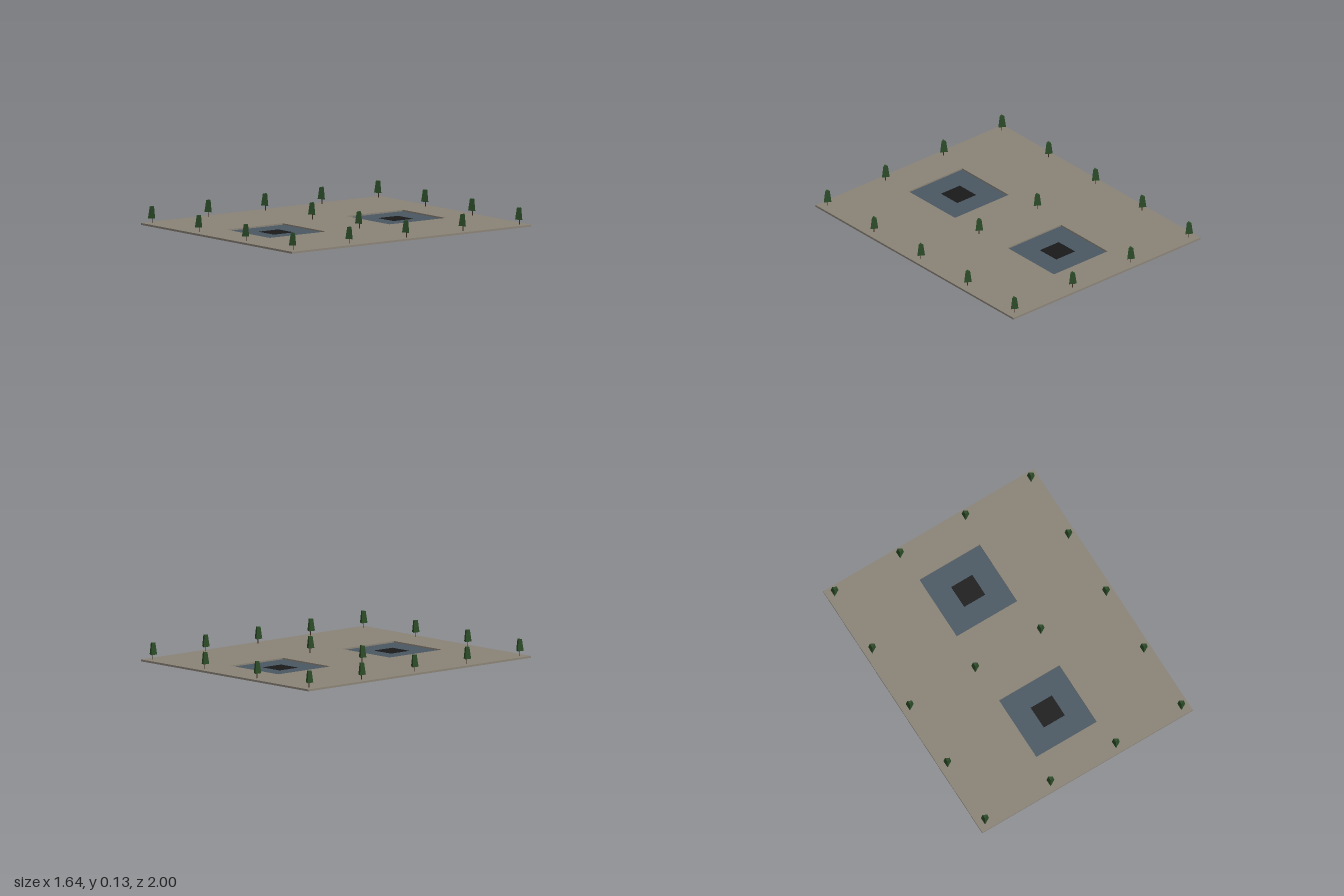
import * as THREE from 'three';

const HALF_X = 0.82, HALF_Z = 1, TOP = 0.014;
const POOL_Z = [-0.5, 0.5], POOL_HALF = 0.235;

const paint = (color) => new THREE.MeshStandardMaterial({ color, flatShading: true });

function part(name, geometry, material, x = 0, y = 0, z = 0) {
  const mesh = new THREE.Mesh(geometry, material);
  mesh.name = name;
  mesh.position.set(x, y, z);
  return mesh;
}

// Square outline, usable for a shape or a hole
function rectangle(path, halfW, halfH, cy = 0) {
  path.moveTo(-halfW, cy - halfH);
  path.lineTo(halfW, cy - halfH);
  path.lineTo(halfW, cy + halfH);
  path.lineTo(-halfW, cy + halfH);
  path.closePath();
  return path;
}

export function createModel() {
  const model = new THREE.Group();
  model.name = 'memorialPlaza';

  const stone = paint(0x8a8276);
  const water = paint(0x4a5862);
  const dark = paint(0x1a1a1a);
  const leaf = paint(0x2a4a26);
  const bark = paint(0x3e2c1e);

  // Paved slab with two square openings
  const outline = rectangle(new THREE.Shape(), HALF_X, HALF_Z);
  for (const z of POOL_Z) outline.holes.push(rectangle(new THREE.Path(), POOL_HALF, POOL_HALF, -z));
  const slab = new THREE.ExtrudeGeometry(outline, { depth: TOP - 0.001, bevelEnabled: false });
  slab.rotateX(-Math.PI / 2);
  model.add(part('pavedSlab', slab, stone, 0, 0.001, 0));

  // Sunken pools, each with a dark central shaft
  const basin = new THREE.BoxGeometry(0.49, 0.004, 0.49);
  const shaft = new THREE.BoxGeometry(0.164, 0.002, 0.164);
  for (const z of POOL_Z) {
    const pool = new THREE.Group();
    pool.name = 'pool';
    pool.position.z = z;
    pool.add(part('poolFloor', basin, water, 0, 0.002, 0));
    pool.add(part('poolShaft', shaft, dark, 0, 0.004, 0));
    model.add(pool);
  }

  // Three-sided trees, one corner pointing to +x
  const crown = new THREE.CylinderGeometry(0.018, 0.03, 0.08, 3).rotateY(Math.PI / 2);
  const trunk = new THREE.CylinderGeometry(0.003, 0.003, 0.036, 3).rotateY(Math.PI / 2);
  for (const z of [-0.945, -0.473, 0, 0.473, 0.945]) {
    // Rows level with the pools only have the outer trees
    const besidePool = Math.abs(z) > 0.2 && Math.abs(z) < 0.8;
    for (const x of besidePool ? [-0.765, 0.765] : [-0.765, -0.255, 0.255, 0.765]) {
      const tree = new THREE.Group();
      tree.name = 'tree';
      tree.position.set(x, TOP, z);
      tree.add(part('trunk', trunk, bark, 0, 0.018, 0));
      tree.add(part('crown', crown, leaf, 0, 0.073, 0));
      model.add(tree);
    }
  }
  return model;
}
